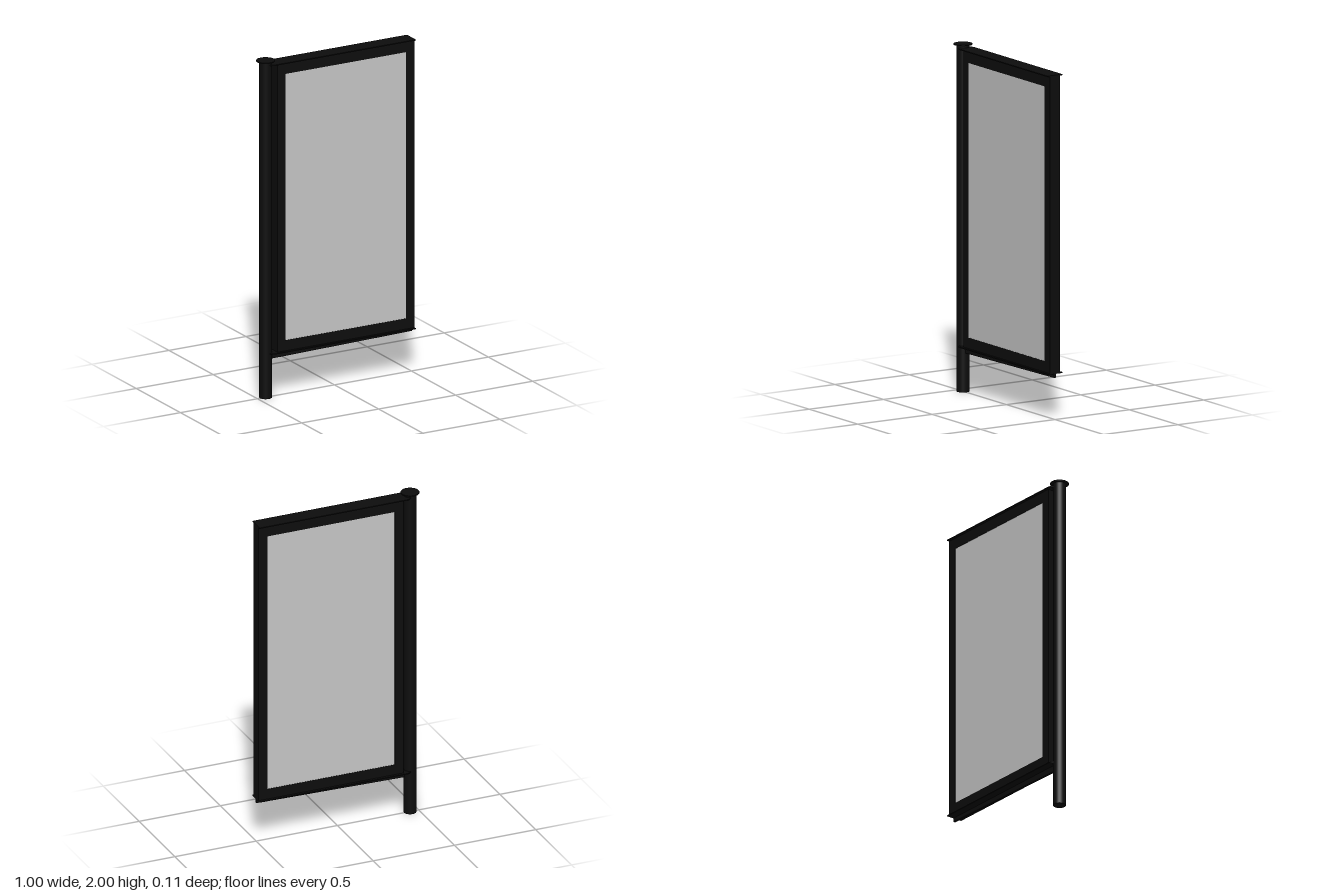
import * as THREE from 'three';

const POST_X = -0.447;
const LEFT = -0.39, RIGHT = 0.5, BOTTOM = 0.265, TOP = 1.975;

export function createModel() {
  const model = new THREE.Group();
  model.name = 'bannerSign';
  const black = new THREE.MeshStandardMaterial({ color: 0x0d0d0d });
  black.name = 'black metal';
  const grey = new THREE.MeshStandardMaterial({ color: 0xc9c9c9 });
  grey.name = 'light grey panel';

  const add = (name, geometry, material, x = 0, y = 0, z = 0) => {
    const mesh = new THREE.Mesh(geometry, material);
    mesh.name = name;
    mesh.position.set(x, y, z);
    model.add(mesh);
    return mesh;
  };
  const extrude = (shape, depth) => {
    const g = new THREE.ExtrudeGeometry(shape, { depth, bevelEnabled: false, curveSegments: 8 });
    return g.translate(0, 0, -depth / 2);
  };
  const polygon = (pts) => new THREE.Shape(pts.map(([x, y]) => new THREE.Vector2(x, y)));

  // Round post with a thin disc cap
  add('post', new THREE.CylinderGeometry(0.036, 0.036, 1.996, 32), black, POST_X, 0.998);
  add('postCap', new THREE.CylinderGeometry(0.053, 0.053, 0.006, 32), black, POST_X, 1.997);

  // Rectangular frame with a window opening
  const frame = polygon([[LEFT, BOTTOM], [RIGHT, BOTTOM], [RIGHT, TOP], [LEFT, TOP]]);
  frame.holes.push(polygon([[-0.338, 0.33], [-0.338, 1.91], [0.446, 1.91], [0.446, 0.33]]));
  add('frame', extrude(frame, 0.07), black);

  // Panel filling the opening
  add('panel', new THREE.BoxGeometry(0.784, 1.58, 0.066), grey, 0.054, 1.12, 0);

  // Flat arms above and below the frame, rounded at the post end
  const arm = new THREE.Shape();
  arm.moveTo(RIGHT, -0.05);
  arm.lineTo(RIGHT, 0.05);
  arm.lineTo(-0.4, 0.05);
  arm.quadraticCurveTo(-0.425, 0.05, -0.44, 0.03);
  arm.lineTo(-0.44, -0.03);
  arm.quadraticCurveTo(-0.425, -0.05, -0.4, -0.05);
  const armGeometry = extrude(arm, 0.006).rotateX(-Math.PI / 2);
  add('upperArm', armGeometry, black, 0, TOP + 0.002);
  add('lowerArm', armGeometry, black, 0, BOTTOM);

  // Tapered web stiffening the lower arm
  const web = polygon([[-0.44, 0.225], [RIGHT, 0.24], [RIGHT, BOTTOM], [-0.44, BOTTOM]]);
  add('lowerArmWeb', extrude(web, 0.012), black);

  return model;
}
